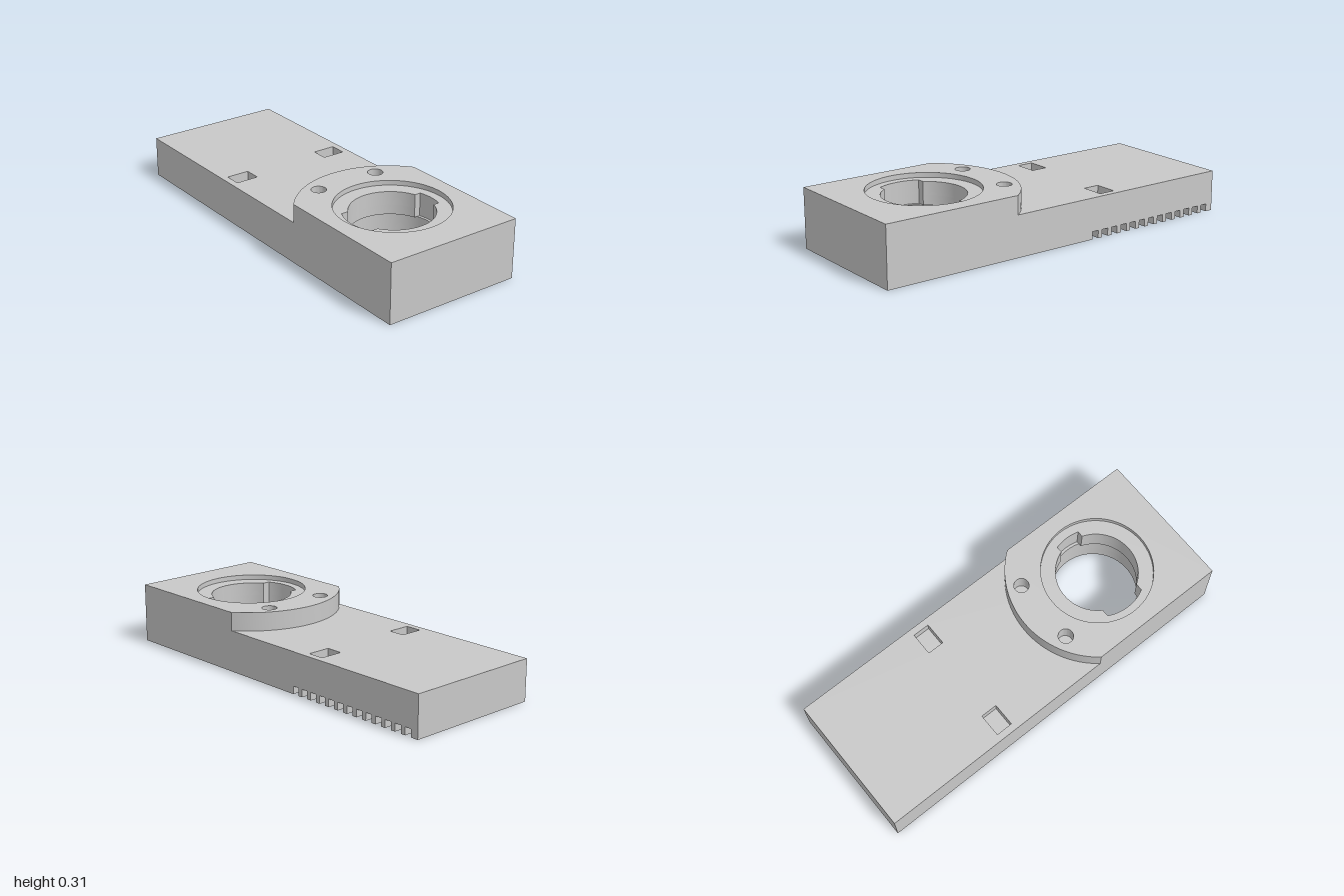
import * as THREE from 'three';
import { toCreasedNormals } from 'three/addons/utils/BufferGeometryUtils.js';

const W = 0.365, WI = 0.302, L = 1, LI = 0.937; // outer and inner half sizes
const CZ = 0.557; // centre of the round socket
const RAISED_R = 0.461;

const grey = new THREE.MeshStandardMaterial({ color: 0xc8c8c8 });
grey.name = 'grey plastic';

// Outlines and holes are lists of [x, z], all wound the same way
const rect = (x0, z0, x1, z1) => [[x0, z0], [x1, z0], [x1, z1], [x0, z1]];
function arc(cx, cz, r, a0, a1, n) {
  const pts = [];
  for (let i = 0; i <= n; i++) {
    const a = a0 + (a1 - a0) * i / n;
    pts.push([cx + r * Math.cos(a), cz + r * Math.sin(a)]);
  }
  return pts;
}
const circle = (cx, cz, r, n = 64) => arc(cx, cz, r, 0, Math.PI * 2, n).slice(0, -1);
const toVec = (pts) => pts.map(([x, z]) => new THREE.Vector2(x, -z));

// Horizontal slab between two heights; holes run opposite to the outline
function slab(name, y0, y1, outline, holes = []) {
  const shape = new THREE.Shape(toVec(outline));
  shape.holes = holes.map((h) => new THREE.Path(toVec(h).reverse()));
  const geo = new THREE.ExtrudeGeometry(shape, { depth: y1 - y0, bevelEnabled: false });
  geo.rotateX(-Math.PI / 2).translate(0, y0, 0);
  const mesh = new THREE.Mesh(toCreasedNormals(geo, 0.5), grey);
  mesh.name = name;
  return mesh;
}

export function createModel() {
  const model = new THREE.Group();
  model.name = 'housing';
  const body = rect(-W, -L, W, L);
  const bore = circle(0, CZ, 0.223);

  // Socket hole with a parallel-sided bayonet notch on each side
  const R = 0.207, RR = 0.237, RL = 0.24; // lip, right notch, left notch
  const angle = (half, r) => Math.asin(half / r);
  const hr = 0.068, hl = 0.11; // half widths of the notches
  const socket = [
    ...arc(0, CZ, RR, -angle(hr, RR), angle(hr, RR), 12),
    ...arc(0, CZ, R, angle(hr, R), Math.PI - angle(hl, R), 28),
    ...arc(0, CZ, RL, Math.PI - angle(hl, RL), Math.PI + angle(hl, RL), 18),
    ...arc(0, CZ, R, Math.PI + angle(hl, R), Math.PI * 2 - angle(hr, R), 28),
  ];

  // Open underside: lower rim leaves a gap in the left wall for the comb
  const combStart = -0.184, combEnd = -0.96;
  model.add(slab('lowerRim', 0, 0.04, [
    [W, combStart], [W, L], [-W, L], [-W, -L], [W, -L], [W, combEnd],
    [WI, combEnd], [WI, -LI], [-WI, -LI], [-WI, LI], [WI, LI], [WI, combStart],
  ]));
  model.add(slab('upperRim', 0.04, 0.075, body, [rect(-WI, -LI, WI, LI)]));

  // Comb teeth between thirteen notches
  const pitch = 0.0616, notch = 0.037;
  for (let i = 0; i < 12; i++) {
    const z = combStart - notch - i * pitch;
    model.add(slab('combTooth', 0, 0.04, rect(WI, z - (pitch - notch), W, z)));
  }

  // Collar below the socket
  model.add(slab('collar', 0, 0.075, circle(0, CZ, 0.287), [bore]));

  // Thick roof with two blind pockets
  const pockets = [rect(-0.33, -0.347, -0.21, -0.26), rect(0.21, -0.347, 0.33, -0.26)];
  model.add(slab('roofCore', 0.075, 0.163, body, [bore]));
  model.add(slab('roofTop', 0.163, 0.213, body, [socket, ...pockets]));

  // Raised round-ended platform with two pin holes and a recessed ring
  const half = angle(W, RAISED_R);
  const platform = [
    [W, L], [-W, L],
    ...arc(0, CZ, RAISED_R, -Math.PI / 2 - half, -Math.PI / 2 + half, 40),
  ];
  const pins = [circle(-0.172, 0.211, 0.038, 32), circle(0.172, 0.211, 0.038, 32)];
  model.add(slab('platform', 0.213, 0.283, platform, [socket, ...pins]));
  model.add(slab('platformTop', 0.283, 0.308, platform, [circle(0, CZ, 0.282), ...pins]));

  return model;
}
